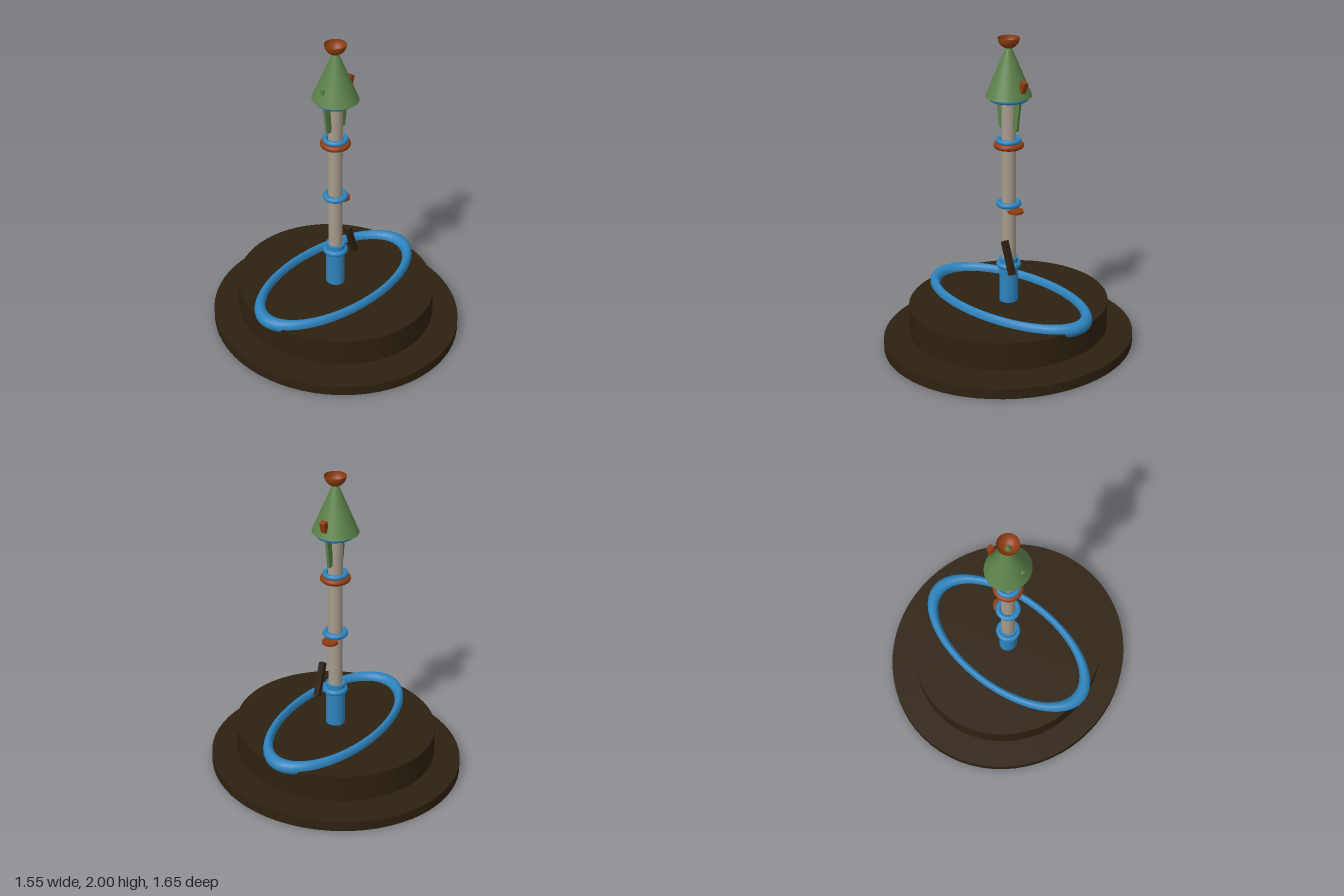
import * as THREE from 'three';

export function createModel() {
  const root = new THREE.Group();
  root.name = 'ringedTower';

  const paint = (name, color, side = THREE.FrontSide) => {
    const m = new THREE.MeshStandardMaterial({ color, side });
    m.name = name;
    return m;
  };
  const brown = paint('darkBrown', 0x2e2110);
  const blue = paint('blue', 0x2d83bd);
  const green = paint('green', 0x5b8149);
  const rust = paint('rust', 0x8f3c12, THREE.DoubleSide);
  const stone = paint('stone', 0xa69b8c);

  const add = (name, geometry, material, x = 0, y = 0, z = 0) => {
    const mesh = new THREE.Mesh(geometry, material);
    mesh.name = name;
    mesh.position.set(x, y, z);
    root.add(mesh);
    return mesh;
  };
  // Upright cylinder between two heights, optionally oval in depth
  const column = (name, r, y0, y1, material, depth = 1) => {
    const mesh = add(name, new THREE.CylinderGeometry(r, r, y1 - y0, 64), material, 0, (y0 + y1) / 2);
    mesh.scale.z = depth;
    return mesh;
  };
  // Horizontal torus; outer is its full radius
  const ring = (name, outer, tube, y, material, depth = 1) => {
    const g = new THREE.TorusGeometry(outer - tube, tube, 16, 48).rotateX(Math.PI / 2);
    const mesh = add(name, g, material, 0, y);
    mesh.scale.z = depth;
    return mesh;
  };

  // Oval base plate and the drum floating just above it
  const oval = 1.065;
  column('basePlate', 0.775, 0, 0.065, brown, oval);
  column('drum', 0.615, 0.105, 0.285, brown, oval);
  column('drumHub', 0.058, 0.1, 0.12, brown, oval);
  ring('ovalHoop', 0.65, 0.043, 0.289, blue, 0.52);

  // Pole, sleeve and collars
  column('pole', 0.045, 0.12, 1.66, stone);
  column('sleeve', 0.058, 0.12, 0.58, blue, oval);
  ring('sleeveCollar', 0.08, 0.019, 0.532, blue);
  ring('middleCollar', 0.08, 0.019, 0.942, blue);
  ring('rustCollar', 0.095, 0.019, 1.325, rust);
  ring('upperCollar', 0.08, 0.016, 1.355, blue);
  ring('roofCollar', 0.122, 0.018, 1.627, blue);

  // Leaning slat and small round shelf
  const slat = add('leaningSlat', new THREE.BoxGeometry(0.033, 0.22, 0.038), brown, 0.069, 0.612, 0.072);
  slat.rotation.z = 0.31;
  add('roundShelf', new THREE.CylinderGeometry(0.05, 0.05, 0.016, 32), rust, 0.061, 0.903, 0);

  // Conical roof
  const roof = add('roof', new THREE.ConeGeometry(0.1385, 0.345, 64), green, 0, 1.8105);
  roof.scale.z = oval;

  // Open bowl on the roof tip
  add('finialBowl', new THREE.SphereGeometry(0.067, 40, 16, 0, Math.PI * 2, Math.PI / 2, Math.PI / 2), rust, 0, 2);

  // Thin brackets hanging below the roof on both sides
  for (const side of [1, -1]) {
    const outline = [[0.042, 1.425], [0.076, 1.425], [0.102, 1.625], [0.054, 1.625]];
    const shape = new THREE.Shape(outline.map(([x, y]) => new THREE.Vector2(x * side, y)));
    const g = new THREE.ExtrudeGeometry(shape, { depth: 0.018, bevelEnabled: false });
    add(side > 0 ? 'leftBracket' : 'rightBracket', g, green, 0, 0, -0.009);
  }

  // Small fittings on the roof slope
  const chimney = add('chimney', new THREE.BoxGeometry(0.034, 0.07, 0.036), rust, 0.122, 1.713, 0);
  chimney.rotation.z = -0.3;
  const stub = add('roofStub', new THREE.BoxGeometry(0.02, 0.05, 0.02), green, -0.104, 1.713, 0);
  stub.rotation.z = 0.1;

  return root;
}
